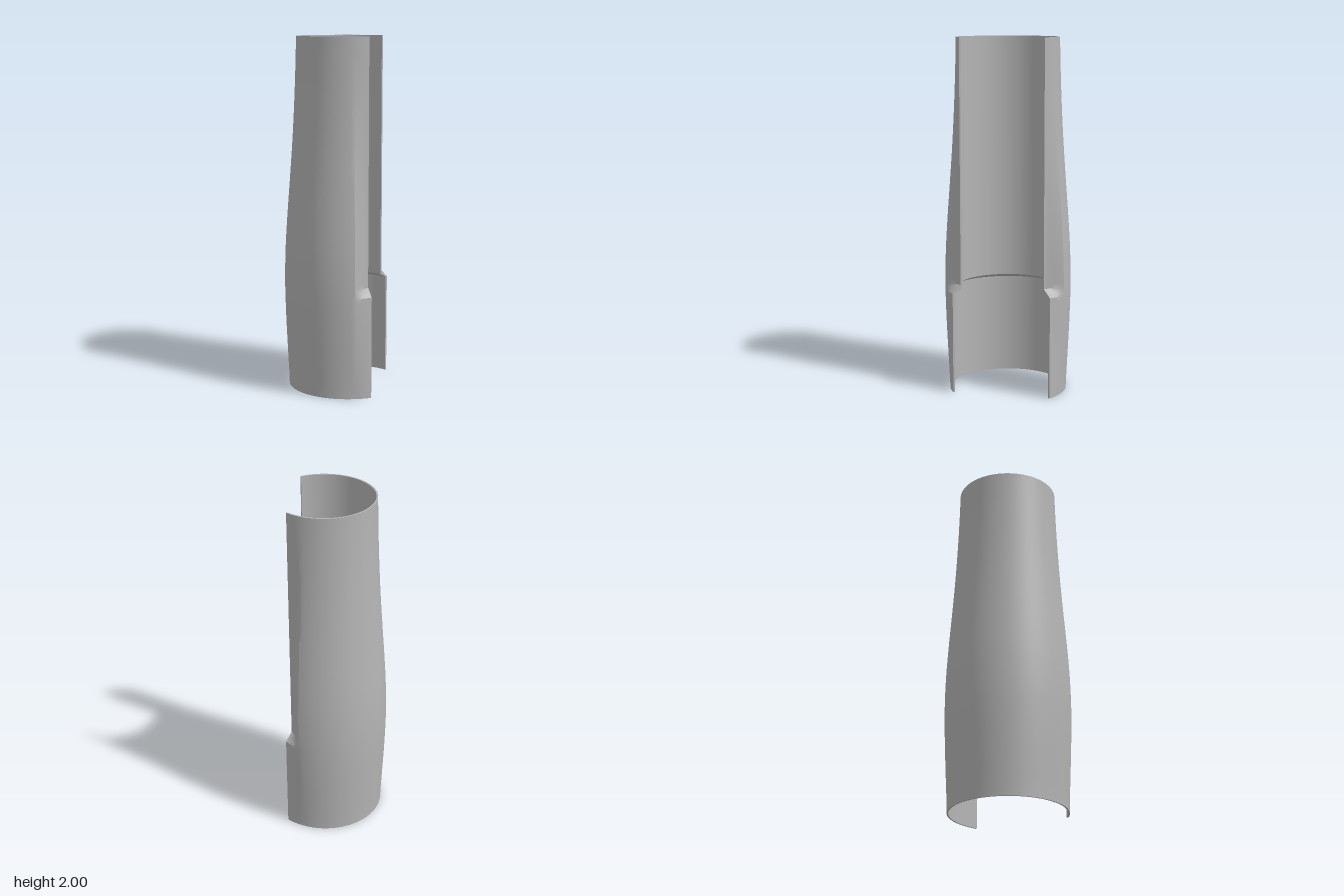
import * as THREE from 'three';
import { mergeGeometries, toCreasedNormals } from 'three/addons/utils/BufferGeometryUtils.js';

const AXIS_X = 0.083;
const GAP = THREE.MathUtils.degToRad(55.6); // half angle of the open slot
const BLEND = THREE.MathUtils.degToRad(17); // width of the faired slot border
const { lerp, clamp } = THREE.MathUtils;

// Bulging outer radius, one value every 0.2 in height
const bulge = new THREE.SplineCurve(
  [0.334, 0.343, 0.352, 0.357, 0.353, 0.341, 0.326, 0.312, 0.301, 0.293, 0.288]
    .map((r, i) => new THREE.Vector2(r, i * 0.2)));

// Outer radius along the slot border: wide collar below, narrow tube above
const edgeRadius = y => lerp(0.336, 0.288, clamp((y - 0.575) / 0.045, 0, 1));

function outerRadius(a, y) {
  const t = clamp((Math.min(a, 2 * Math.PI - a) - GAP) / BLEND, 0, 1);
  return lerp(edgeRadius(y), bulge.getPoint(y / 2).x, Math.pow(t, 1.5));
}

// Bore with a sloped shoulder between the wide socket and the narrow tube
const innerRadius = y => lerp(0.326, 0.279, clamp((y - 0.575) / 0.022, 0, 1));

const polar = (r, a, y) => [AXIS_X + r * Math.cos(a), y, r * Math.sin(a)];

// Grid of quads from columns of points, facing columns x rows
function patch(columns) {
  const n = columns[0].length, index = [];
  for (let i = 0; i < columns.length - 1; i++) {
    for (let j = 0; j < n - 1; j++) {
      const a = i * n + j, b = a + n;
      index.push(a, b, b + 1, a, b + 1, a + 1);
    }
  }
  const g = new THREE.BufferGeometry();
  g.setAttribute('position', new THREE.Float32BufferAttribute(columns.flat(2), 3));
  g.setIndex(index);
  return g;
}

export function createModel() {
  // Heights, with extra rows around the step and shoulder
  const ys = [0.575, 0.586, 0.597, 0.608, 0.62];
  for (let i = 0; i <= 40; i++) if (i !== 12) ys.push(i * 0.05);
  ys.sort((a, b) => a - b);

  // Angles, dense across both slot borders, running backwards so faces point out
  const start = GAP, end = 2 * Math.PI - GAP, angles = [];
  for (let i = 0; i < 12; i++) angles.push(start + BLEND * i / 12);
  for (let i = 0; i <= 64; i++) angles.push(lerp(start + BLEND, end - BLEND, i / 64));
  for (let i = 1; i <= 12; i++) angles.push(end - BLEND + BLEND * i / 12);
  angles.reverse();

  const outer = a => ys.map(y => polar(outerRadius(a, y), a, y));
  const inner = a => ys.map(y => polar(innerRadius(y), a, y));

  // Closed wall section swept round the axis, then the two slot faces
  const wall = patch(angles.map(a => [...outer(a), ...inner(a).reverse(), outer(a)[0]]));
  const shell = mergeGeometries([
    wall,
    patch([outer(start), inner(start)]),
    patch([inner(end), outer(end)]),
  ]);

  const grey = new THREE.MeshStandardMaterial({ color: 0xb4b4b4 });
  grey.name = 'grey';
  const mesh = new THREE.Mesh(toCreasedNormals(shell, 0.5), grey);
  mesh.name = 'slottedSleeve';
  const model = new THREE.Group();
  model.name = 'openSleeve';
  model.add(mesh);
  return model;
}
